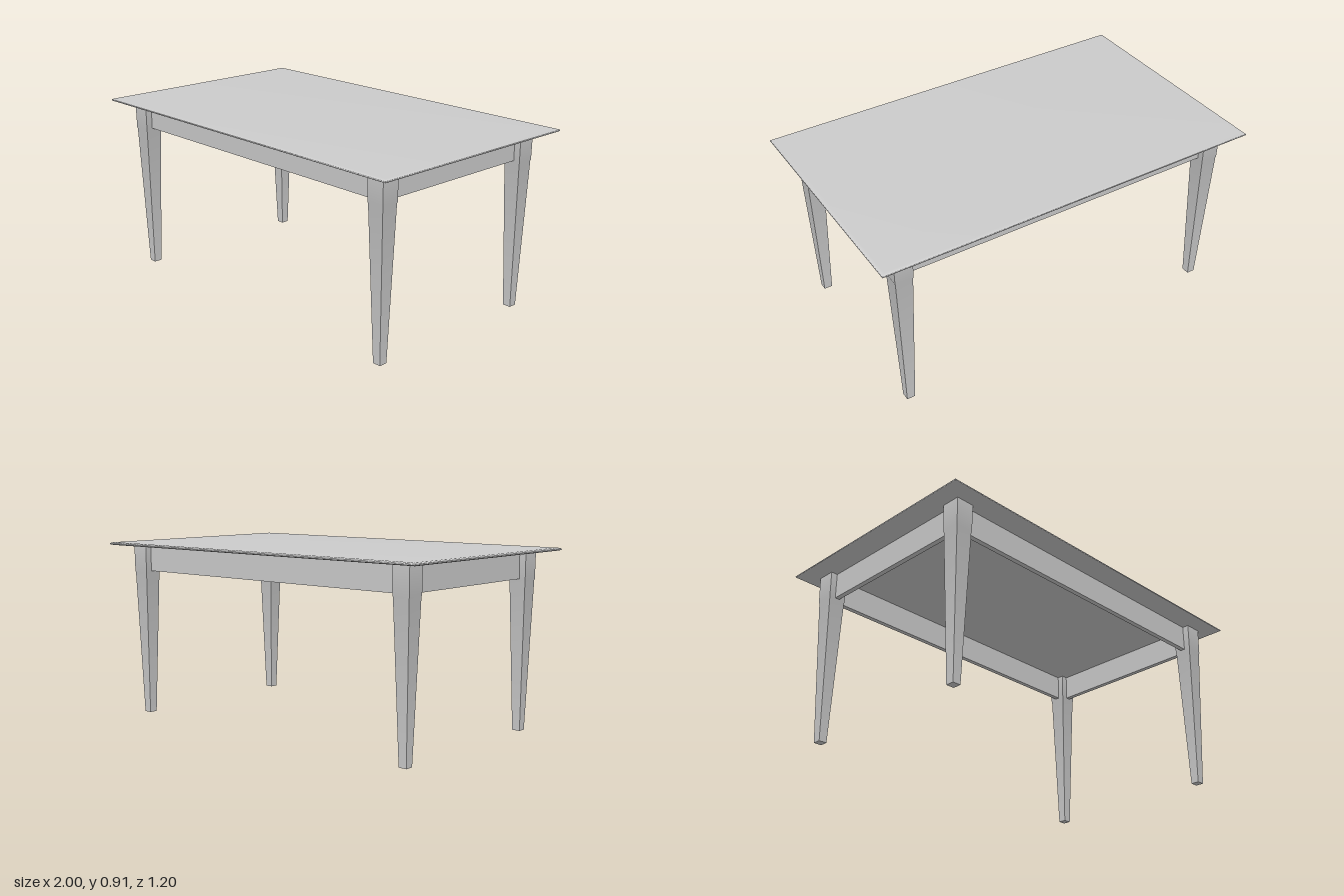
import * as THREE from 'three';
import { toCreasedNormals } from 'three/addons/utils/BufferGeometryUtils.js';

const LEG_X = 0.86, LEG_Z = 0.467;
const UNDERSIDE = 0.897, TOP = 0.912;

export function createModel() {
  const group = new THREE.Group();
  const material = new THREE.MeshStandardMaterial({ color: 0xcccccc });

  const add = (name, geometry, x, y, z) => {
    const mesh = new THREE.Mesh(geometry, material);
    mesh.name = name;
    mesh.position.set(x, y, z);
    group.add(mesh);
    return mesh;
  };

  // Thin tabletop with a softly rounded rim and square corners
  const bevelSize = 0.02, bevelThickness = 0.006;
  const w = 1 - bevelSize, d = 0.6 - bevelSize;
  const outline = new THREE.Shape([
    new THREE.Vector2(-w, -d), new THREE.Vector2(w, -d),
    new THREE.Vector2(w, d), new THREE.Vector2(-w, d),
  ]);
  const topGeometry = new THREE.ExtrudeGeometry(outline, {
    depth: TOP - UNDERSIDE - 2 * bevelThickness,
    bevelEnabled: true, bevelSize, bevelThickness, bevelSegments: 4,
  });
  topGeometry.rotateX(-Math.PI / 2);
  add('tabletop', toCreasedNormals(topGeometry, 0.7), 0, UNDERSIDE + bevelThickness, 0);

  // Square leg: tapered shaft below a slightly wider block (half width, height)
  const profile = [
    [0, 0], [0.021, 0], [0.0435, 0.752], [0.0455, 0.758], [0.047, UNDERSIDE + 0.002], [0, UNDERSIDE + 0.002],
  ].map(([half, y]) => new THREE.Vector2(half * Math.SQRT2, y));
  const legGeometry = toCreasedNormals(new THREE.LatheGeometry(profile, 4, Math.PI / 4), 0.6);
  for (const [side, sx] of [['Left', 1], ['Right', -1]]) {
    for (const [end, sz] of [['front', 1], ['back', -1]]) {
      add(`${end}${side}Leg`, legGeometry, sx * LEG_X, 0, sz * LEG_Z);
    }
  }

  // Apron rails running between the leg blocks
  const bottom = 0.763, height = UNDERSIDE + 0.002 - bottom, thickness = 0.025;
  const longRail = new THREE.BoxGeometry(2 * LEG_X - 0.08, height, thickness);
  const shortRail = new THREE.BoxGeometry(thickness, height, 2 * LEG_Z - 0.08);
  const y = bottom + height / 2;
  add('frontApron', longRail, 0, y, LEG_Z);
  add('backApron', longRail, 0, y, -LEG_Z);
  add('leftApron', shortRail, LEG_X, y, 0);
  add('rightApron', shortRail, -LEG_X, y, 0);

  return group;
}
